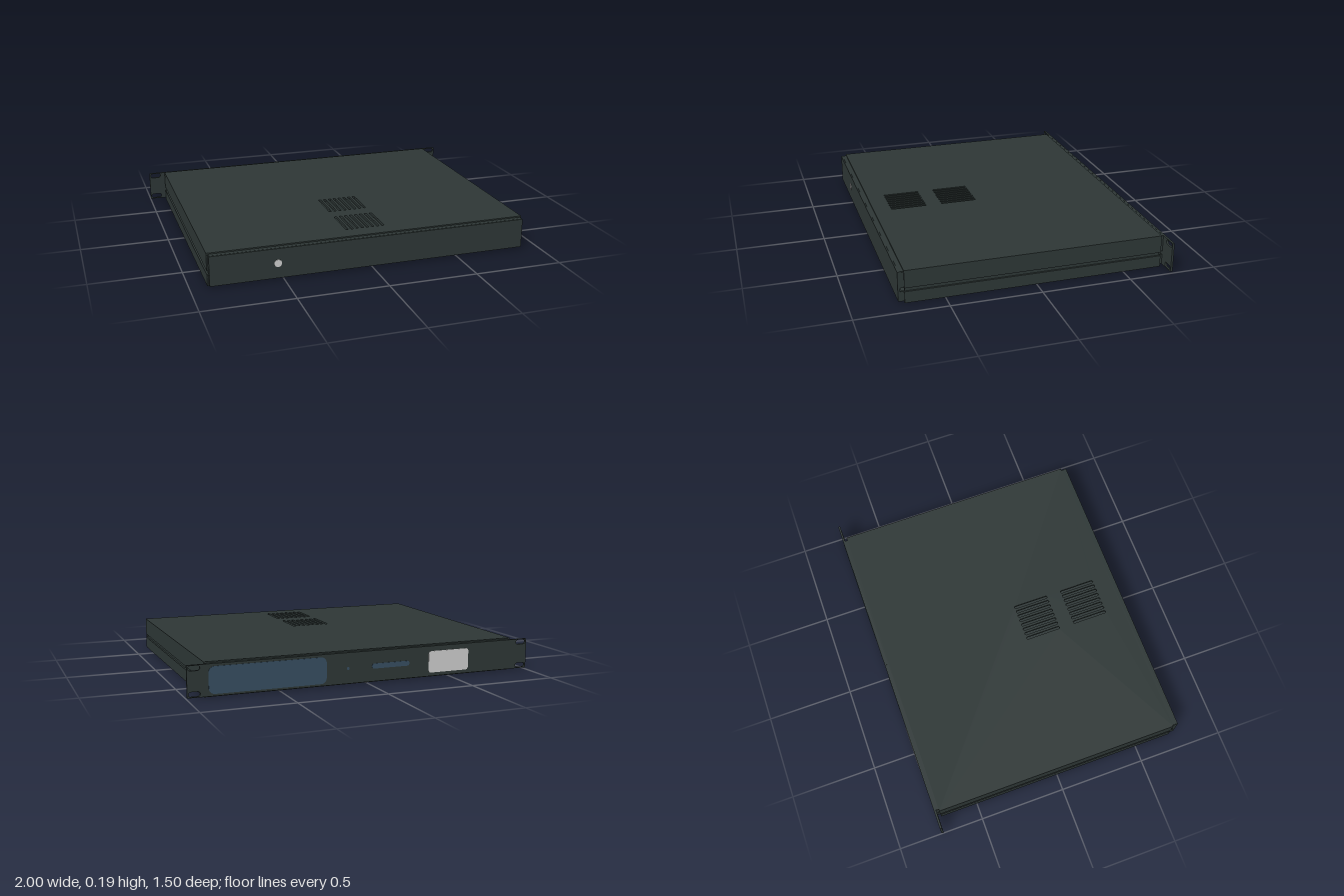
import * as THREE from 'three';

const material = (name, color) => Object.assign(new THREE.MeshStandardMaterial({ color }), { name });

// Rounded rectangle outline, usable as a shape or a hole
function roundedRect(cx, cy, w, h, r, Type = THREE.Shape) {
  const p = new Type(), x = w / 2 - r, y = h / 2 - r, q = Math.PI / 2;
  p.absarc(cx + x, cy + y, r, 0, q);
  p.absarc(cx - x, cy + y, r, q, 2 * q);
  p.absarc(cx - x, cy - y, r, 2 * q, 3 * q);
  p.absarc(cx + x, cy - y, r, 3 * q, 4 * q);
  p.closePath();
  return p;
}

export function createModel() {
  const group = new THREE.Group();
  group.name = 'rackEnclosure';
  const casing = material('charcoal casing', 0x2d3635);
  const blue = material('slate blue inlay', 0x364d60);
  const grey = material('light grey inlay', 0xcccccc);

  const add = (name, geometry, mat = casing) => {
    const mesh = new THREE.Mesh(geometry, mat);
    mesh.name = name;
    group.add(mesh);
    return mesh;
  };
  // Box given by its limits on each axis
  const box = (name, x0, x1, y0, y1, z0, z1) => {
    add(name, new THREE.BoxGeometry(x1 - x0, y1 - y0, z1 - z0))
      .position.set((x0 + x1) / 2, (y0 + y1) / 2, (z0 + z1) / 2);
  };
  // Plate in the x-y plane from z upwards
  const plate = (name, shape, z, depth, mat) => {
    const geometry = new THREE.ExtrudeGeometry(shape, { depth, bevelEnabled: false, curveSegments: 8 });
    return add(name, geometry.translate(0, 0, z), mat);
  };

  // Lid with two banks of ventilation slots
  const lid = new THREE.Shape([[-0.905, -0.715], [0.905, -0.715], [0.905, 0.72], [-0.905, 0.72]]
    .map(([x, y]) => new THREE.Vector2(x, y)));
  for (const z of [0.21, 0.51]) {
    for (let i = 0; i < 8; i++) {
      lid.holes.push(roundedRect((i - 3.5) * 0.03, -z, 0.016, 0.21, 0.007, THREE.Path));
    }
  }
  const lidGeometry = new THREE.ExtrudeGeometry(lid, { depth: 0.014, bevelEnabled: false, curveSegments: 3 });
  add('lid', lidGeometry.rotateX(-Math.PI / 2).translate(0, 0.171, 0));

  // Floor
  box('floor', -0.905, 0.905, 0, 0.012, -0.72, 0.715);

  // Side walls: upper and lower shells with a recessed seam between them
  for (const s of [-1, 1]) {
    const side = s > 0 ? 'left' : 'right';
    const wall = (name, a, b, ...rest) => box(side + name, Math.min(s * a, s * b), Math.max(s * a, s * b), ...rest);
    wall('UpperWall', 0.895, 0.905, 0.085, 0.171, -0.72, 0.715);
    wall('LowerWall', 0.895, 0.905, 0.012, 0.065, -0.72, 0.715);
    wall('InnerWall', 0.885, 0.895, 0.012, 0.171, -0.715, 0.712);
    for (const [y0, y1] of [[0.012, 0.065], [0.085, 0.174]]) {
      wall('FrontReturn', 0.888, 0.898, y0, y1, 0.712, 0.738);
      wall('BackReturn', 0.882, 0.892, y0, y1, -0.736, -0.715);
    }
  }

  // Front panel with folded top and bottom edges
  box('frontPanel', -0.898, 0.898, 0.01, 0.177, 0.736, 0.748);
  box('frontTopReturn', -0.896, 0.896, 0.168, 0.178, 0.71, 0.74);
  box('frontBottomReturn', -0.896, 0.896, 0.008, 0.018, 0.71, 0.74);
  box('backTopReturn', -0.89, 0.89, 0.168, 0.178, -0.738, -0.715);
  box('backBottomReturn', -0.89, 0.89, 0.008, 0.018, -0.738, -0.715);

  // Round grey port on the front
  add('frontPort', new THREE.CylinderGeometry(0.021, 0.021, 0.006, 24).rotateX(Math.PI / 2), grey)
    .position.set(-0.532, 0.095, 0.748);

  // Rack faceplate with mounting slots in the ears
  const face = roundedRect(0, 0.094, 2, 0.17, 0.004);
  for (const x of [-0.962, 0.962]) {
    for (const y of [0.027, 0.162]) face.holes.push(roundedRect(x, y, 0.062, 0.026, 0.0125, THREE.Path));
  }
  plate('rackFaceplate', face, -0.748, 0.012, casing);

  // Inlays on the outside of the faceplate
  const inlay = (name, mat, ...rect) => plate(name, roundedRect(...rect), -0.7505, 0.004, mat);
  inlay('displayWindow', blue, 0.565, 0.093, 0.645, 0.145, 0.032);
  inlay('indicatorWindow', blue, -0.135, 0.094, 0.225, 0.028, 0.013);
  inlay('statusLight', blue, 0.118, 0.093, 0.016, 0.016, 0.0078);
  inlay('socketPlate', grey, -0.492, 0.09, 0.25, 0.122, 0.016);

  return group;
}
